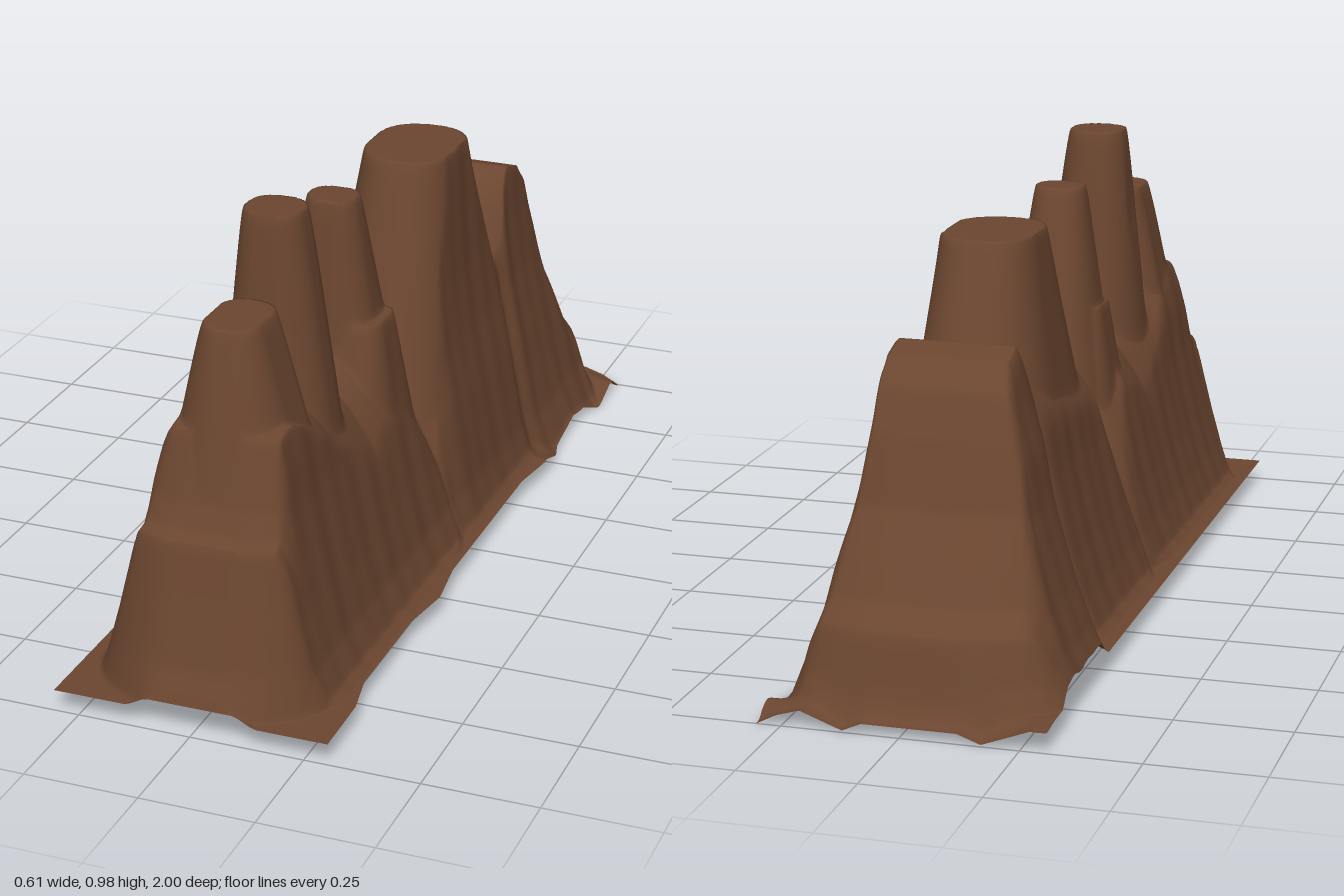
import * as THREE from 'three';

const { lerp, smoothstep } = THREE.MathUtils;

// Piecewise-linear lookup in [position, value] pairs, ascending positions
function lookup(table, t) {
  if (t <= table[0][0]) return table[0][1];
  for (let i = 1; i < table.length; i++) {
    const [a, va] = table[i - 1], [b, vb] = table[i];
    if (t <= b) return va + (vb - va) * (t - a) / (b - a);
  }
  return table[table.length - 1][1];
}

const bump = (t, c, w) => Math.exp(-(((t - c) / w) ** 2));

function softMin(a, b, k) {
  const h = Math.max(k - Math.abs(a - b), 0) / k;
  return Math.min(a, b) - h * h * k * 0.25;
}

// Height of the ridge line between the pillars, back to front
const ridge = [
  [-1, 0.03], [-0.96, 0.1], [-0.93, 0.19], [-0.88, 0.24], [-0.84, 0.31], [-0.78, 0.41],
  [-0.74, 0.55], [-0.7, 0.64], [-0.65, 0.695], [-0.58, 0.715], [-0.52, 0.685], [-0.47, 0.64],
  [-0.36, 0.64], [-0.05, 0.6], [0.0, 0.53], [0.05, 0.44], [0.1, 0.5], [0.2, 0.58], [0.3, 0.56],
  [0.36, 0.54], [0.45, 0.57], [0.59, 0.61], [0.75, 0.62], [0.82, 0.6], [0.86, 0.46],
  [0.885, 0.405], [0.915, 0.395], [0.94, 0.28], [0.97, 0.15], [1, 0.05],
];

// Wall height against distance from the middle, for each flank
const leftWall = [
  [0.07, 1.1], [0.09, 0.79], [0.105, 0.7], [0.125, 0.6], [0.148, 0.5], [0.163, 0.4],
  [0.183, 0.31], [0.205, 0.22], [0.232, 0.13], [0.258, 0.065], [0.278, 0.05],
];
const rightWall = [
  [0.1, 1.1], [0.12, 0.8], [0.132, 0.6], [0.152, 0.45], [0.172, 0.35], [0.195, 0.24],
  [0.222, 0.13], [0.25, 0.065], [0.272, 0.05],
];

// Wavy right-hand border and uneven back hem
const rightBorder = [
  [-1, 0.302], [-0.86, 0.298], [-0.78, 0.277], [-0.57, 0.277], [-0.48, 0.297], [-0.4, 0.3],
  [-0.28, 0.282], [0.2, 0.282], [0.33, 0.299], [0.46, 0.28], [0.74, 0.28], [0.84, 0.3], [1, 0.302],
];
const rightHem = [
  [-1, 0.01], [-0.97, 0.045], [-0.92, 0.03], [-0.85, 0.003], [-0.7, 0.03], [-0.55, 0],
  [-0.48, 0.03], [-0.42, 0.05],
];
const backHem = [
  [-0.27, 0.045], [-0.17, 0.007], [-0.12, 0.025], [0.08, 0.025], [0.12, 0.007],
  [0.21, 0.04], [0.26, 0.025], [0.3, 0.004],
];

// Pillars: top height, extent of the top in x and z, plan corner radius, rim softness,
// and outward run per unit of drop on the -x, +x, -z, +z sides
const pillars = [
  { top: 0.812, x: [-0.068, 0.05], z: [0.605, 0.775], corner: 0.05, rim: 0.03, run: [0.22, 0.27, 0.04, 0.22] },
  { top: 0.98, x: [-0.07, 0.055], z: [0.44, 0.56], corner: 0.05, rim: 0.06, run: [0.1, 0.13, 0.14, 0.08] },
  { top: 0.9, x: [-0.055, 0.055], z: [0.15, 0.243], corner: 0.04, rim: 0.03, run: [0.14, 0.14, 0.26, 0.1] },
  { top: 0.63, x: [-0.105, 0.122], z: [0.125, 0.26], corner: 0.04, rim: 0.015, run: [0.15, 0.15, 0.25, 0.25] },
  { top: 0.88, x: [-0.07, 0.135], z: [-0.355, -0.095], corner: 0.09, rim: 0.015, run: [0.16, 0.1, 0.38, 0.32] },
];

function pillarHeight({ top, x: [l, r], z: [b, f], corner, rim, run }, x, z) {
  const ax = Math.max(l - x, x - r) + corner, az = Math.max(b - z, z - f) + corner;
  const ox = Math.max(ax, 0), oz = Math.max(az, 0);
  const out = Math.hypot(ox, oz) - corner;
  if (out <= 0) return top;
  const runX = run[x < (l + r) / 2 ? 0 : 1], runZ = run[z < (b + f) / 2 ? 2 : 3];
  const drop = out * (ox * ox + oz * oz) / (ox * ox * runX + oz * oz * runZ);
  return top - drop * drop / (drop + rim);
}

function height(x, z) {
  const left = x < 0, ax = Math.abs(x);
  // Flanks with faint vertical ripples, a cleft ahead of the back hump and a wider hump
  const ripple = 0.001 * Math.sin(z * 41) + 0.001 * Math.sin(z * 67 + 1);
  const cleft = 0.015 * bump(z, -0.475, 0.025);
  const hump = smoothstep(-z, 0.47, 0.58);
  const shoulder = left ? 0
    : 0.018 * smoothstep(-z, -0.05, 0.08) * (1 - hump) * (1 - smoothstep(ax, 0.19, 0.27));
  const wall = lookup(left ? leftWall : rightWall,
    ax / (1 + (left ? 0.23 : 0.08) * hump) + ripple + cleft - shoulder);

  // Rounded plan corners at both ends of the ridge
  const ends = smoothstep(Math.abs(z), 0.6, 0.85);
  const zEnd = z + ends * (z > 0 ? 3 : -1.6) * Math.max(ax - 0.06, 0) ** 2;
  // Saddles fall away towards the flanks
  let crest = lookup(ridge, zEnd) - 6 * x * x * (1 - hump) * (1 - smoothstep(z, 0.5, 0.8));
  for (const p of pillars) crest = Math.max(crest, pillarHeight(p, x, z));
  const y = Math.max(softMin(crest, wall, 0.04 + 0.08 * ends), 0.05);

  // Hem
  let floor = 0.05;
  if (x > 0.2) floor = lerp(0.05, lookup(rightHem, z), Math.min((x - 0.2) / 0.08, 1));
  const end = smoothstep(-z, 0.93, 1);
  floor = lerp(floor, lookup(backHem, x), end);
  // Raised lip in the middle of the front hem
  floor += 0.022 * smoothstep(z, 0.97, 1) * (1 - smoothstep(ax, 0.09, 0.15));
  return Math.max(floor + (y - 0.05) * (1 - end), 0);
}

export function createModel() {
  const group = new THREE.Group();
  group.name = 'rockRidge';

  // Terrain sheet raised by the height rule
  const geometry = new THREE.PlaneGeometry(1, 2, 150, 400);
  geometry.rotateX(-Math.PI / 2);
  const pos = geometry.attributes.position;
  for (let i = 0; i < pos.count; i++) {
    const z = pos.getZ(i);
    const x = lerp(-0.305, lookup(rightBorder, z), pos.getX(i) + 0.5);
    pos.setXYZ(i, x, height(x, z), z);
  }
  geometry.computeVertexNormals();

  const rock = new THREE.Mesh(
    geometry,
    new THREE.MeshStandardMaterial({ color: 0x6b4630, side: THREE.DoubleSide })
  );
  rock.name = 'rockSurface';
  group.add(rock);
  return group;
}
